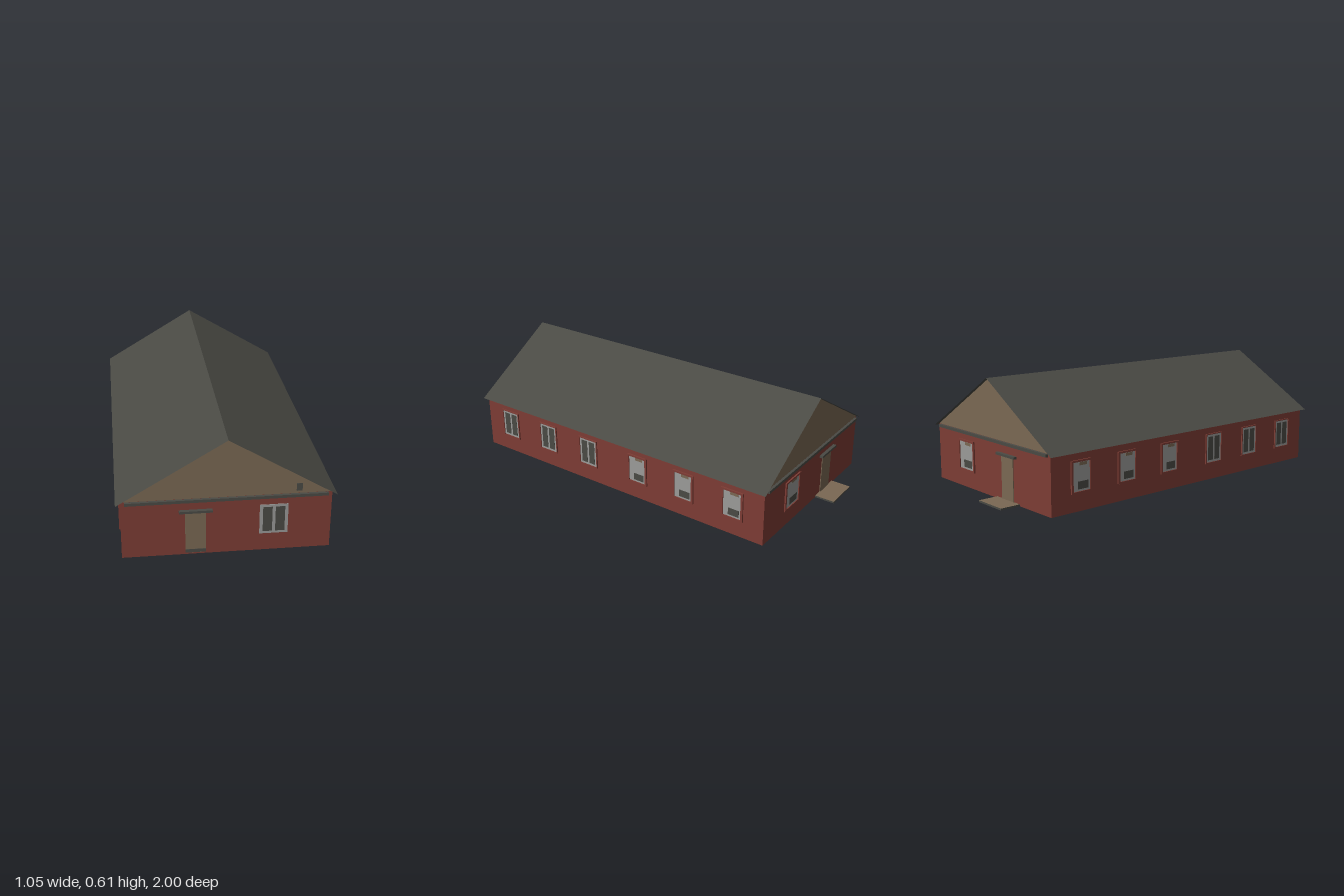
import * as THREE from 'three';

const paint = (name, color) => new THREE.MeshStandardMaterial({ name, color, side: THREE.DoubleSide });

export function createModel() {
  const house = new THREE.Group();
  house.name = 'house';
  const red = paint('brick red', 0x7d3c34);
  const tan = paint('tan', 0x7a6853);
  const dark = paint('dark slate', 0x4a4a44);
  const grey = paint('window grey', 0x9a9a98);

  const W = 0.505, EAVE = 0.305, FRONT = 0.98, BACK = -0.89;
  const MID = (FRONT + BACK) / 2, LEN = FRONT - BACK;

  const add = (parent, name, geo, mat, x = 0, y = 0, z = 0) => {
    const m = new THREE.Mesh(geo, mat);
    m.name = name;
    m.position.set(x, y, z);
    parent.add(m);
    return m;
  };
  const box = (parent, name, mat, w, h, d, x, y, z) =>
    add(parent, name, new THREE.BoxGeometry(w, h, d), mat, x, y, z);

  // A window straddles its wall so that it shows inside and outside
  const makeWindow = (w, h, framed) => {
    const g = new THREE.Group();
    g.name = 'window';
    box(g, 'windowPanel', grey, w, h, 0.006, 0, 0, 0);
    if (framed) {
      for (const s of [-1, 1]) {
        box(g, 'frameSide', red, 0.012, h + 0.008, 0.016, s * w / 2, 0, 0);
        box(g, 'frameRail', red, w, 0.01, 0.016, 0, s * h / 2, 0);
      }
      box(g, 'upperBlind', tan, w * 0.4, h * 0.1, 0.008, w * 0.1, h * 0.4, 0);
      box(g, 'lowerGlass', dark, w * 0.55, h * 0.25, 0.008, w * 0.08, -h * 0.28, 0);
    } else {
      for (const s of [-1, 1])
        box(g, 'pane', dark, w * 0.33, h * 0.84, 0.008, s * w * 0.22, 0, 0);
    }
    return g;
  };

  // Both end walls: brick, gable, beam, door, lintel and window
  for (const [label, z, s] of [['front', FRONT, 1], ['back', BACK, -1]]) {
    const end = new THREE.Group();
    end.name = label + 'End';
    end.position.z = z;
    house.add(end);
    const wall = add(end, 'endWall', new THREE.PlaneGeometry(W * 2, EAVE), red, 0, EAVE / 2, 0);
    const gableShape = new THREE.Shape([
      new THREE.Vector2(-W, EAVE), new THREE.Vector2(W, EAVE), new THREE.Vector2(0, 0.608)]);
    const gable = add(end, 'gable', new THREE.ShapeGeometry(gableShape), tan);
    if (s < 0) {
      wall.rotation.y = Math.PI;
      gable.rotation.y = Math.PI;
    }
    box(end, 'gableBeam', dark, 0.97, 0.015, 0.014, 0, 0.297, s * 0.007);
    box(end, 'door', tan, 0.1, 0.225, 0.008, -0.15, 0.122, 0);
    box(end, 'doorLintel', dark, 0.16, 0.012, 0.018, -0.15, 0.24, s * 0.009);
    const win = makeWindow(0.138, 0.158, s < 0);
    win.position.set(0.226, 0.172, 0);
    if (s < 0) win.rotation.y = Math.PI;
    end.add(win);
    if (s > 0) {
      box(end, 'doorThreshold', dark, 0.1, 0.018, 0.009, -0.15, 0.02, 0.001);
      box(end, 'gableVent', dark, 0.028, 0.04, 0.006, 0.345, 0.338, 0);
    }
  }

  // Long side walls, six windows each
  for (const s of [1, -1]) {
    const side = new THREE.Group();
    side.name = s > 0 ? 'leftSide' : 'rightSide';
    side.position.x = s * W;
    house.add(side);
    add(side, 'sideWall', new THREE.PlaneGeometry(LEN, EAVE), red, 0, EAVE / 2, MID)
      .rotation.y = s * Math.PI / 2;
    [0.805, 0.512, 0.218, -0.12, -0.415, -0.71].forEach((z, i) => {
      const win = makeWindow(0.115, 0.155, i > 2);
      if (i < 3) { // slim surround on the front windows
        for (const e of [-1, 1]) {
          box(win, 'surroundSide', red, 0.006, 0.166, 0.014, e * 0.06, 0, 0);
          box(win, 'surroundRail', red, 0.115, 0.006, 0.014, 0, e * 0.08, 0);
        }
      }
      win.position.set(0, 0.173, z);
      win.rotation.y = s * Math.PI / 2;
      side.add(win);
    });
  }

  // Thin gable roof with a small overhang, open underneath
  const roofFront = 1.0, roofBack = -0.905, run = 0.527, rise = 0.315;
  const pitch = Math.atan2(rise, run), slope = Math.hypot(run, rise);
  for (const s of [1, -1]) {
    const geo = new THREE.PlaneGeometry(slope, roofFront - roofBack);
    geo.rotateX(-Math.PI / 2);
    add(house, 'roofSlope', geo, dark, s * run / 2, 0.61 - rise / 2, (roofFront + roofBack) / 2)
      .rotation.z = -s * pitch;
  }

  // Back doorstep with a tan top
  box(house, 'doorstep', [dark, dark, tan, dark, dark, dark], 0.195, 0.01, 0.11, -0.15, 0.005, -0.945);

  return house;
}
